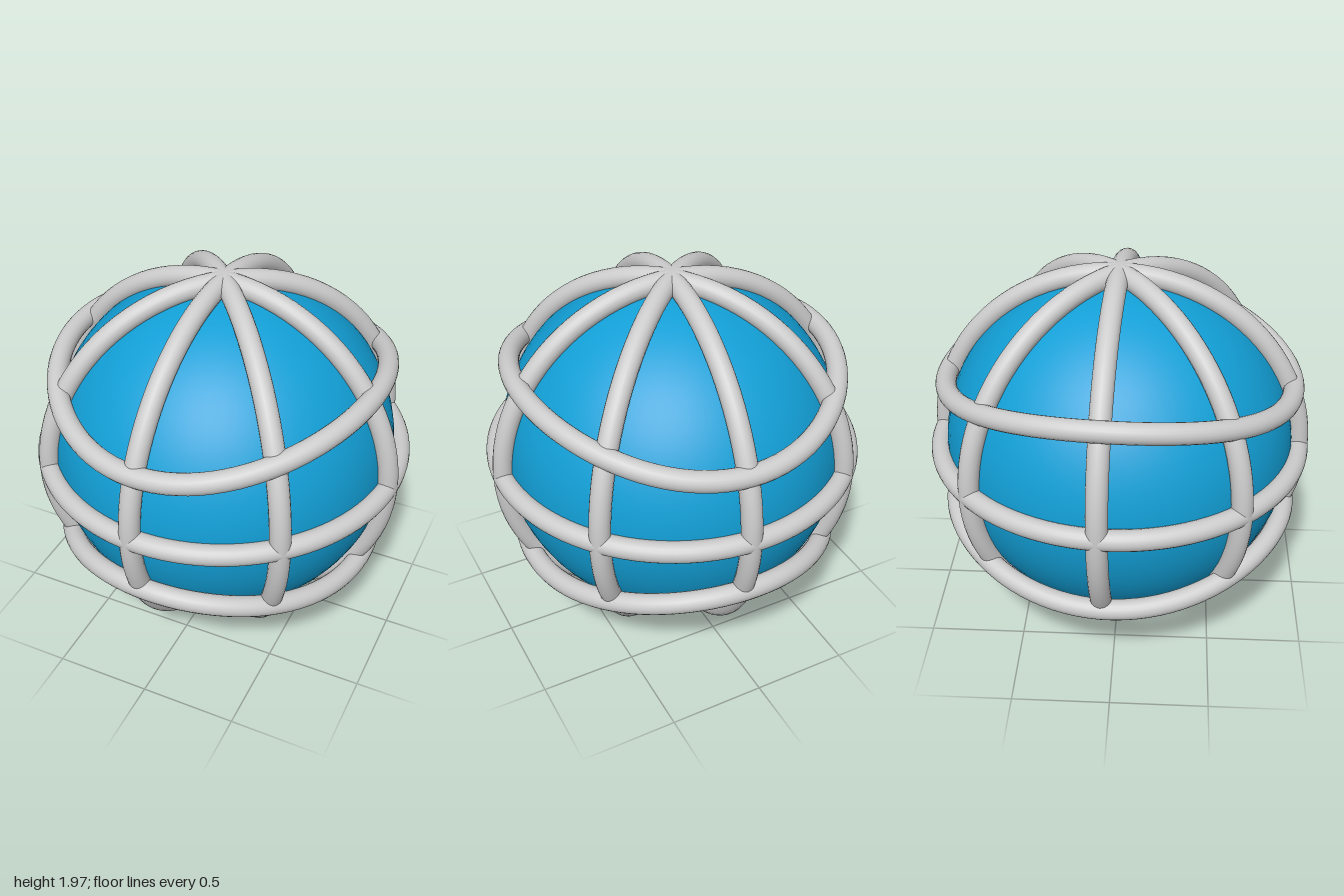
import * as THREE from 'three';

const CENTER = 0.988, CAGE = 0.932, WIRE = 0.053;

export function createModel() {
  const model = new THREE.Group();
  const globe = new THREE.Group();
  globe.name = 'cagedBall';
  globe.position.y = CENTER;
  globe.rotation.y = -0.064; // cage is turned slightly off axis
  globe.scale.z = 1.014;
  model.add(globe);

  const grey = new THREE.MeshStandardMaterial({ color: 0xcccccc });
  const blue = new THREE.MeshStandardMaterial({ color: 0x129fd6 });
  const add = (name, geometry, material) => {
    const mesh = new THREE.Mesh(geometry, material);
    mesh.name = name;
    globe.add(mesh);
    return mesh;
  };

  // Inner ball
  add('ball', new THREE.SphereGeometry(0.9, 64, 40), blue);

  // Great circles: four upright hoops through the poles and the equator
  const hoop = new THREE.TorusGeometry(CAGE, WIRE, 20, 96);
  for (let i = 0; i < 4; i++) {
    add('uprightHoop' + (i + 1), hoop, grey).rotation.y = (i * Math.PI) / 4;
  }
  add('equatorHoop', hoop, grey).rotation.x = Math.PI / 2;

  // Saddle-shaped hoops, mirrored above and below the equator
  for (const side of [1, -1]) {
    const points = [];
    for (let i = 0; i < 32; i++) {
      const a = (i / 32) * Math.PI * 2;
      const y = side * (0.354 + 0.168 * Math.cos(a) ** 2);
      points.push(new THREE.Vector3(0.82 * Math.cos(a), y, 0.885 * Math.sin(a)));
    }
    const path = new THREE.CatmullRomCurve3(points, true);
    add(side > 0 ? 'upperHoop' : 'lowerHoop', new THREE.TubeGeometry(path, 96, WIRE, 20, true), grey);
  }
  return model;
}
